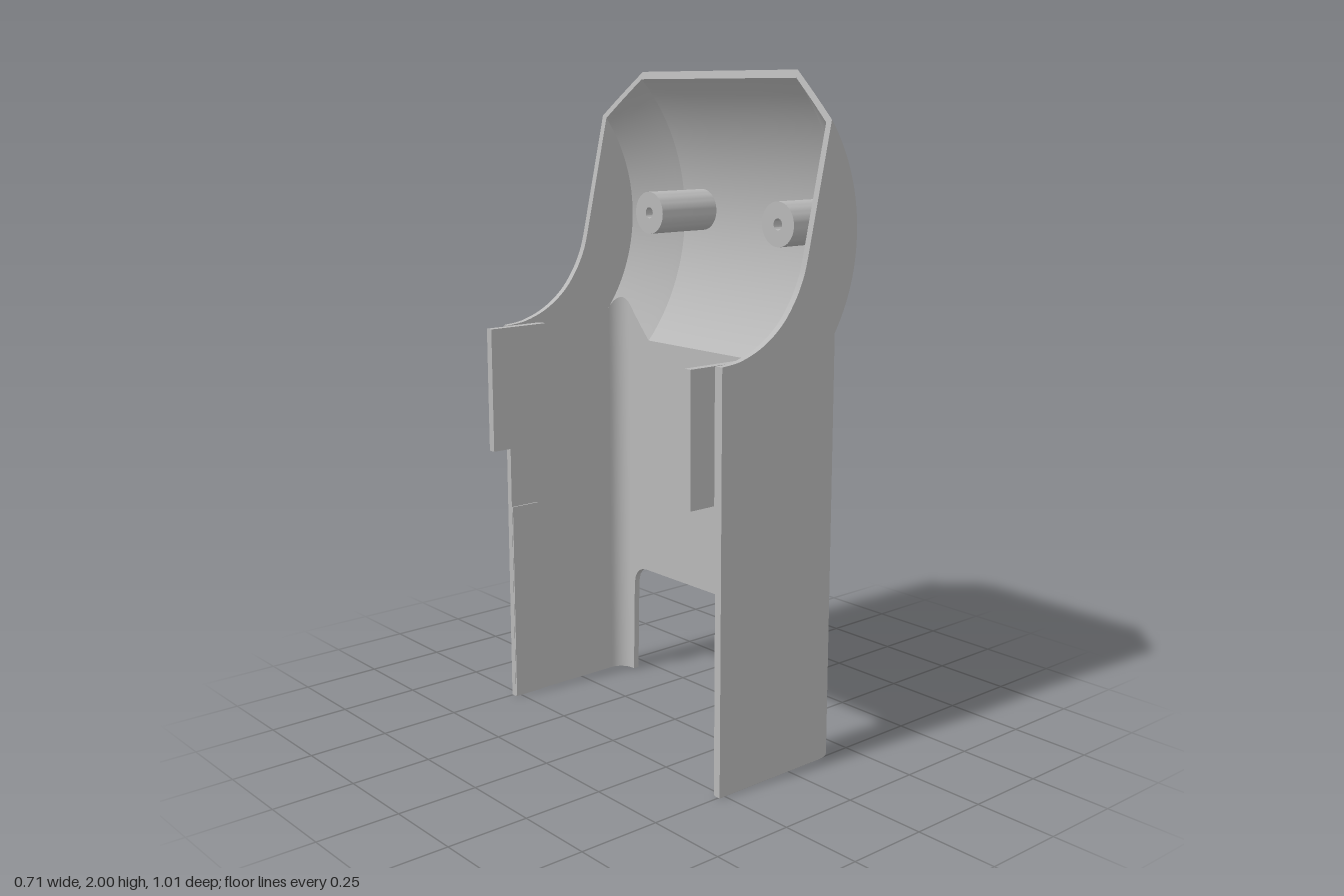
import * as THREE from 'three';
import { toCreasedNormals } from 'three/addons/utils/BufferGeometryUtils.js';

const T = 0.02;                        // wall thickness
const HALF = 0.505;                    // half width
const CX = -0.262, CY = 1.55;          // axis of the bulged hood
const R0 = 0.617, BREAK = 0.34;        // hood radius, start of its conical ends
const CONE = 0.115 / (HALF - BREAK);
const SLOPE = 0.226;                   // lean of the trimmed hood edge

// Height and x where a hood circle of radius R meets the slanted trim line
function trimPoint(R) {
  const a = 0.16 - CX + SLOPE * (CY - 2), q = 1 + SLOPE * SLOPE;
  const u = (-a * SLOPE + Math.sqrt(a * a * SLOPE * SLOPE - q * (a * a - R * R))) / q;
  return { x: CX + a + SLOPE * u, y: CY + u };
}

// Lower edge of the front wall, with the round-cornered notch
function bottomEdge(z) {
  if (z <= 0.358) return 0.37;
  return z < 0.42 ? 0.31 + Math.sqrt(Math.max(0, 0.0036 - (z - 0.358) ** 2)) : 0;
}

// Stations across the width: flat part, then the rounded corner
const half = [0.15, BREAK, 0.358, 0.375, 0.39, 0.403, 0.412, 0.418, 0.425, 0.435].map((z) => ({ z, a: 0, s: 1 }));
for (let i = 1; i <= 8; i++) half.push({ z: 0.435, a: (i / 8) * Math.PI / 2, s: 1 });
const stations = [...half.map((h) => ({ ...h, s: -1 })).reverse(), { z: 0, a: 0, s: 1 }, ...half];

// Key values of one skin (t = inward offset) at one station
function section(st, t) {
  const r = 0.07 - t;
  const z = st.z + r * Math.sin(st.a);
  const x = 0.13 + r * Math.cos(st.a);
  const R = R0 - t - Math.max(0, z - BREAK) * CONE;
  const start = -Math.acos((x - CX) / R);
  const top = trimPoint(R);
  return { x, z: z * st.s, R, start, end: Math.atan2(top.y - CY, top.x - CX), y0: bottomEdge(st.z) };
}
const wallPoint = (c, v) => [c.x, THREE.MathUtils.lerp(c.y0, CY + c.R * Math.sin(c.start), v), c.z];
const hoodPoint = (c, v) => {
  const a = THREE.MathUtils.lerp(c.start, c.end, v);
  return [CX + c.R * Math.cos(a), CY + c.R * Math.sin(a), c.z];
};

// Surface through a grid of points, one column per station
function loft(point, rows, flip = false) {
  const pos = [], idx = [], n = rows + 1;
  stations.forEach((st, i) => {
    for (let j = 0; j <= rows; j++) pos.push(...point(st, j / rows));
    if (i === stations.length - 1) return;
    for (let j = 0; j < rows; j++) {
      const a = i * n + j, b = a + 1, c = a + n, d = c + 1;
      idx.push(...(flip ? [a, c, b, b, c, d] : [a, b, c, b, d, c]));
    }
  });
  const g = new THREE.BufferGeometry();
  g.setAttribute('position', new THREE.Float32BufferAttribute(pos, 3));
  g.setIndex(idx);
  return toCreasedNormals(g, 0.5);
}

// Outline of a side plate: straight below, hood arc in front, swept cut behind
function sidePlateShape() {
  const R = R0 - (HALF - BREAK) * CONE;
  const top = trimPoint(R);
  const start = -Math.acos((0.13 - CX) / R);
  const s = new THREE.Shape();
  s.moveTo(-0.27, 0);
  s.lineTo(0.13, 0);
  s.lineTo(0.13, CY + R * Math.sin(start));
  s.absarc(CX, CY, R, start, Math.atan2(top.y - CY, top.x - CX), false);
  s.lineTo(0.045, 1.49);
  s.splineThru([[0.03, 1.44], [0, 1.38], [-0.05, 1.316], [-0.12, 1.265], [-0.2, 1.234], [-0.27, 1.225]]
    .map((p) => new THREE.Vector2(...p)));
  s.closePath();
  return s;
}

export function createModel() {
  const grey = new THREE.MeshStandardMaterial({ color: 0xb8b8b8, side: THREE.DoubleSide });
  grey.name = 'grey plastic';
  const model = new THREE.Group();
  model.name = 'housing';
  const add = (name, geometry, x = 0, y = 0, z = 0) => {
    const m = new THREE.Mesh(geometry, grey);
    m.name = name;
    m.position.set(x, y, z);
    model.add(m);
    return m;
  };
  const box = (name, x0, x1, y0, y1, z0, z1) => add(name,
    new THREE.BoxGeometry(x1 - x0, y1 - y0, Math.abs(z1 - z0)), (x0 + x1) / 2, (y0 + y1) / 2, (z0 + z1) / 2);

  // Front wall and hood, outer and inner skins
  for (const [label, t] of [['outer', 0], ['inner', T]]) {
    add(label + 'Wall', loft((st, v) => wallPoint(section(st, t), v), 4, t > 0));
    add(label + 'Hood', loft((st, v) => hoodPoint(section(st, t), v), 28, t > 0));
  }
  // Rims closing the two skins
  add('hoodRim', loft((st, v) => hoodPoint(section(st, v * T), 1), 1));
  add('wallRim', loft((st, v) => wallPoint(section(st, v * T), 0), 1, true));

  // Side plates with tabs and thin guide strips
  const plate = new THREE.ExtrudeGeometry(sidePlateShape(), { depth: T, bevelEnabled: false, curveSegments: 24 });
  for (const s of [1, -1]) {
    const side = s > 0 ? 'left' : 'right';
    add(side + 'Plate', plate, 0, 0, s > 0 ? HALF - T : -HALF);
    box(side + 'Tab', -0.355, -0.15, 0.84, 1.225, s * 0.451, s * 0.475);
    box(side + 'TabRoot', -0.269, -0.15, 0.84, 1.224, s * 0.475, s * 0.487);
    box(side + 'GuideStrip', -0.269, -0.17, 0.001, 0.64, s * 0.48, s * 0.486);
  }

  // Hollow screw posts inside the hood
  const ring = new THREE.Shape().absarc(0, 0, 0.065, 0, Math.PI * 2, false);
  ring.holes.push(new THREE.Path().absarc(0, 0, 0.017, 0, Math.PI * 2, true));
  const post = toCreasedNormals(
    new THREE.ExtrudeGeometry(ring, { depth: 0.223, bevelEnabled: false, curveSegments: 24 }), 0.6);
  post.rotateY(Math.PI / 2);
  for (const z of [-0.245, 0.325]) add('screwPost', post, 0.105, 1.57, z);

  return model;
}
